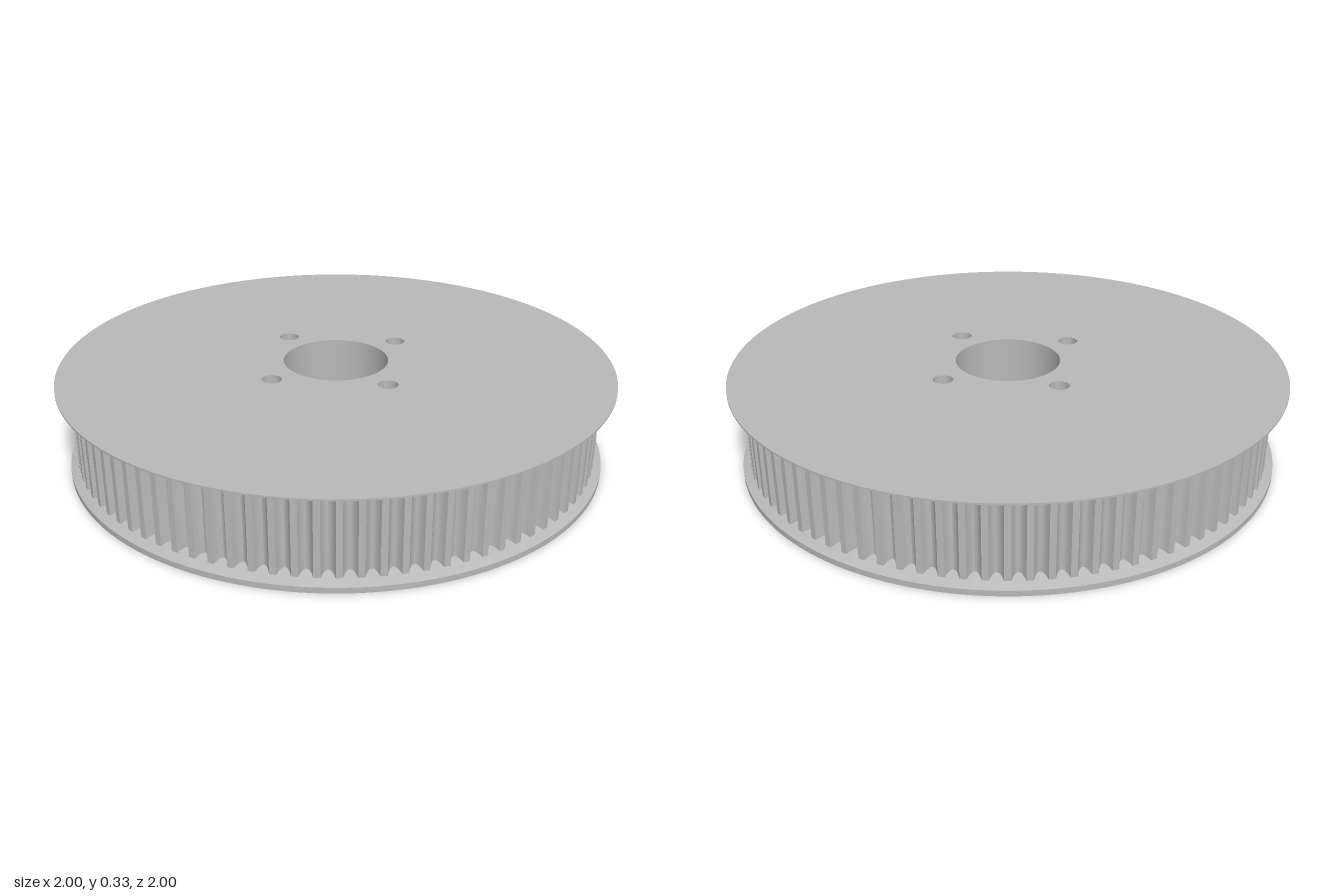
import * as THREE from 'three';
import { toCreasedNormals } from 'three/addons/utils/BufferGeometryUtils.js';

const TEETH = 90, TIP = 0.947, DEPTH = 0.026;
const BORE = 0.19, BOLT = 0.036, BOLT_CIRCLE = 0.288;

// Central bore and four bolt holes
function addHoles(shape) {
  const hole = (x, y, r) => shape.holes.push(new THREE.Path().absarc(x, y, r, 0, Math.PI * 2, true));
  hole(0, 0, BORE);
  for (let i = 0; i < 4; i++) {
    const a = i * Math.PI / 2;
    hole(Math.cos(a) * BOLT_CIRCLE, Math.sin(a) * BOLT_CIRCLE, BOLT);
  }
  return shape;
}

function discShape(r) {
  return addHoles(new THREE.Shape().absarc(0, 0, r, 0, Math.PI * 2, false));
}

// Flat-tipped teeth with rounded grooves between them
function toothShape() {
  const pts = [], pitch = Math.PI * 2 / TEETH, steps = 8;
  for (let i = 0; i < TEETH; i++) {
    for (let k = 0; k <= steps; k++) {
      const t = k / steps;
      const groove = Math.pow(Math.sin(Math.PI * t), 0.8);
      const a = (i + (t - 0.5) * 0.68) * pitch;
      const r = TIP - DEPTH * groove;
      pts.push(new THREE.Vector2(Math.cos(a) * r, Math.sin(a) * r));
    }
  }
  return addHoles(new THREE.Shape(pts));
}

export function createModel() {
  const group = new THREE.Group();
  group.name = 'timingPulley';
  const metal = new THREE.MeshStandardMaterial({ color: 0xb8b8b8 });
  metal.name = 'grey metal';

  // Extrude a plan shape upward between two heights
  const slab = (name, shape, y0, y1) => {
    const geo = new THREE.ExtrudeGeometry(shape, { depth: y1 - y0, bevelEnabled: false, curveSegments: 96 });
    geo.rotateX(-Math.PI / 2).translate(0, y0, 0);
    const mesh = new THREE.Mesh(toCreasedNormals(geo, 0.5), metal);
    mesh.name = name;
    group.add(mesh);
  };

  slab('lowerFlange', discShape(0.975), 0, 0.02);
  slab('toothedRim', toothShape(), 0.02, 0.327);
  slab('upperFlange', discShape(1), 0.327, 0.333);

  // Sloping shoulder rising from the lower flange into the grooves
  const shoulder = new THREE.Mesh(new THREE.LatheGeometry(
    [new THREE.Vector2(0.975, 0.02), new THREE.Vector2(0.91, 0.053)], 128), metal);
  shoulder.name = 'lowerFlangeShoulder';
  group.add(shoulder);

  return group;
}
